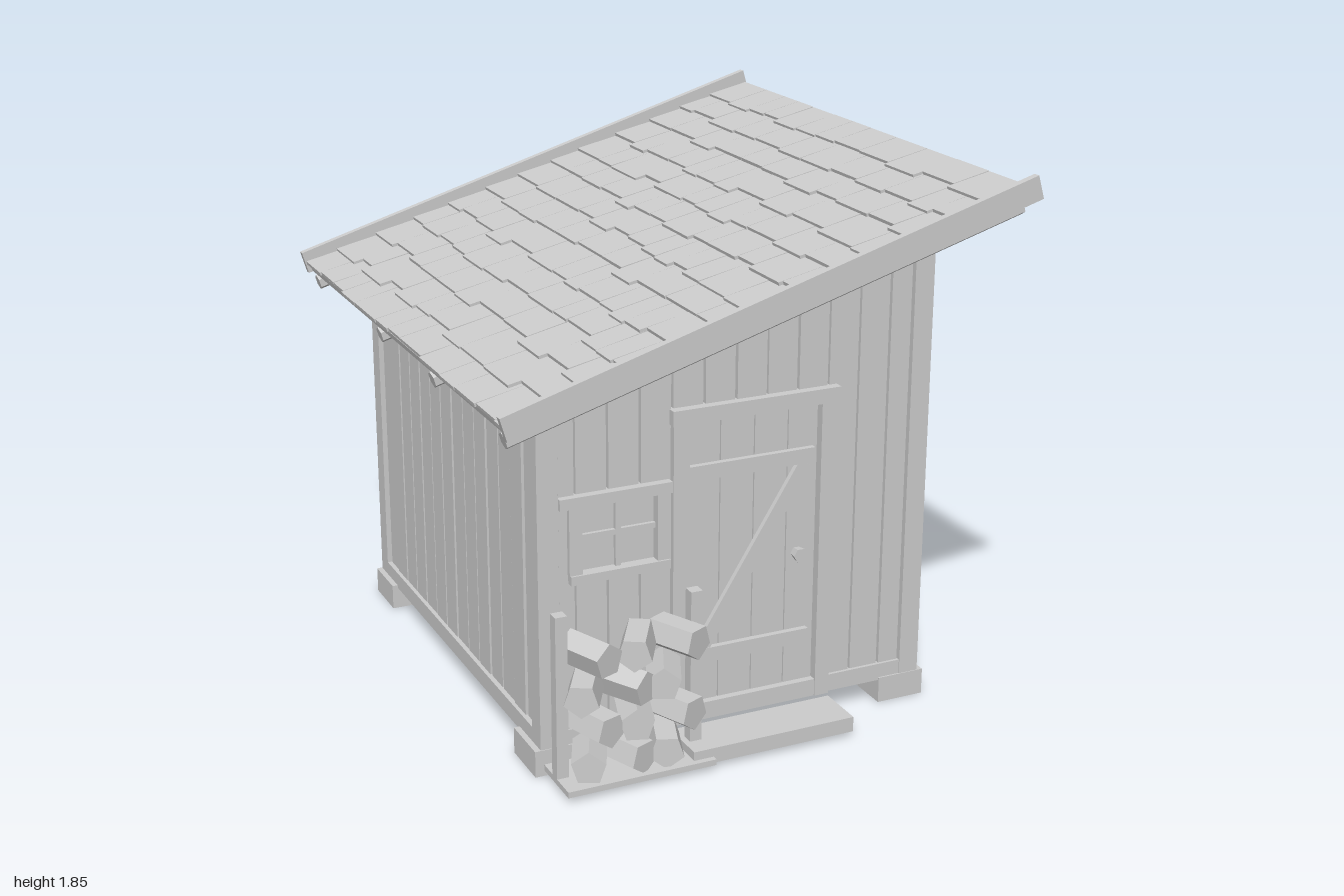
import * as THREE from 'three';

export function createModel() {
  const model = new THREE.Group();
  model.name = 'shed';
  const wood = new THREE.MeshStandardMaterial({ color: 0xcccccc });
  wood.name = 'pale grey';
  wood.flatShading = true;

  let seed = 7;
  const rand = () => (seed = (seed * 16807) % 2147483647) / 2147483647;

  const add = (name, geo, parent = model) => {
    const m = new THREE.Mesh(geo, wood);
    m.name = name;
    parent.add(m);
    return m;
  };
  // Box given by its limits on each axis
  const box = (name, x0, x1, y0, y1, z0, z1, parent = model) => {
    const m = add(name, new THREE.BoxGeometry(x1 - x0, y1 - y0, z1 - z0), parent);
    m.position.set((x0 + x1) / 2, (y0 + y1) / 2, (z0 + z1) / 2);
    return m;
  };
  const group = (name) => {
    const g = new THREE.Group();
    g.name = name;
    model.add(g);
    return g;
  };

  const SLOPE = 0.297, ROOF = 1.51;
  const FRONT = 0.72, BACK = -0.87;
  const wallTop = (x) => ROOF - 0.012 + SLOPE * x;

  // Foundation stones, corner posts and sills
  for (const s of [-1, 1]) {
    for (const [z0, z1] of [[0.54, FRONT + 0.003], [BACK - 0.003, -0.69]]) {
      box('foundationStone', s < 0 ? -0.71 : 0.54, s < 0 ? -0.54 : 0.71, 0, 0.09, z0, z1);
    }
    const top = s > 0 ? 1.63 : 1.24;
    for (const [z0, z1] of [[0.65, FRONT], [BACK, -0.8]]) {
      box('cornerPost', s < 0 ? -0.69 : 0.62, s < 0 ? -0.62 : 0.69, 0.08, top, z0, z1);
    }
    box('sideSill', s < 0 ? -0.69 : 0.62, s < 0 ? -0.62 : 0.69, 0.08, 0.14, -0.8, 0.65);
    box('wallPlate', s < 0 ? -0.69 : 0.62, s < 0 ? -0.62 : 0.69, top, top + 0.068, -0.91, 0.78);

    // Side wall boards
    const wall = group(s > 0 ? 'leftWall' : 'rightWall');
    const edges = [0.65];
    for (let z = 0.57; z > -0.75; z -= 0.1068) edges.push(z);
    edges.push(-0.8);
    for (let i = 0; i + 1 < edges.length; i++) {
      const d = 0.672 + rand() * 0.006;
      box('wallBoard', s > 0 ? d - 0.02 : -d, s > 0 ? d : 0.02 - d, 0.13, top + 0.01,
        edges[i + 1] + 0.005, edges[i] - 0.005, wall);
    }
  }
  box('frontSill', -0.62, 0.62, 0.08, 0.14, 0.65, FRONT - 0.003);
  box('backSill', -0.62, 0.62, 0.08, 0.14, BACK + 0.003, -0.8);

  // Gable boards with tops cut to the roof slope
  const gableBoard = (x0, x1, y0, z, parent) => {
    const shape = new THREE.Shape([
      new THREE.Vector2(x0, y0), new THREE.Vector2(x1, y0),
      new THREE.Vector2(x1, wallTop(x1)), new THREE.Vector2(x0, wallTop(x0)),
    ]);
    const m = add('wallBoard', new THREE.ExtrudeGeometry(shape, { depth: 0.02, bevelEnabled: false }), parent);
    m.position.z = z;
  };
  const frontWall = group('frontWall'), backWall = group('backWall');
  const xs = [-0.62];
  for (let k = 1; k < 12; k++) xs.push(-0.67 + 0.11 * k);
  xs.push(0.62);
  for (let i = 0; i + 1 < xs.length; i++) {
    const a = xs[i] + 0.004, b = xs[i + 1] - 0.004, mid = (a + b) / 2;
    gableBoard(a, b, 0.13, BACK + 0.012 + rand() * 0.006, backWall);
    const z = 0.685 + rand() * 0.006;
    if (mid > -0.23 && mid < 0.33) gableBoard(a, b, 1.1, z, frontWall);
    else if (mid > -0.56 && mid < -0.23) {
      box('wallBoard', a, b, 0.13, 0.67, z, z + 0.02, frontWall);
      gableBoard(a, b, 0.9, z, frontWall);
    } else gableBoard(a, b, 0.13, z, frontWall);
  }

  // Door with frame, Z brace and knob
  const door = group('door');
  const doorX = [-0.18, -0.06, 0.06, 0.18, 0.288];
  for (let i = 0; i < 4; i++) {
    box('doorBoard', doorX[i] + 0.002, doorX[i + 1] - 0.002, 0.14, 1.1, 0.68, 0.702, door);
  }
  box('doorHeader', -0.24, 0.35, 1.11, 1.16, 0.69, 0.738, door);
  box('doorJamb', -0.235, -0.18, 0.08, 1.11, 0.68, 0.73, door);
  box('doorJamb', 0.288, 0.34, 0.08, 1.11, 0.68, 0.73, door);
  box('doorThreshold', -0.18, 0.288, 0.08, 0.14, 0.68, 0.726, door);
  box('doorBrace', -0.18, 0.27, 0.912, 0.962, 0.7, 0.722, door);
  box('doorBrace', -0.175, 0.26, 0.28, 0.33, 0.7, 0.722, door);
  const brace = add('diagonalBrace', new THREE.BoxGeometry(0.05, 0.69, 0.018), door);
  brace.position.set(0.055, 0.62, 0.711);
  brace.rotation.z = -Math.atan2(0.37, 0.59);
  const knob = add('doorKnob', new THREE.CylinderGeometry(0.025, 0.02, 0.035, 6), door);
  knob.rotation.set(Math.PI / 2, Math.PI / 6, 0);
  knob.position.set(0.22, 0.6, 0.718);

  // Window: pane, glazing bars and surround
  const win = group('window');
  box('windowPane', -0.57, -0.27, 0.65, 0.92, 0.685, 0.695, win);
  box('windowHead', -0.62, -0.24, 0.893, 0.93, 0.69, 0.735, win);
  box('windowSill', -0.585, -0.245, 0.64, 0.67, 0.69, 0.735, win);
  for (const x of [-0.565, -0.265]) box('windowJamb', x - 0.022, x + 0.022, 0.67, 0.893, 0.69, 0.728, win);
  box('glazingBar', -0.424, -0.406, 0.67, 0.893, 0.69, 0.71, win);
  box('glazingBar', -0.543, -0.287, 0.775, 0.793, 0.69, 0.708, win);

  // Door step
  box('step', -0.24, 0.34, 0.018, 0.07, 0.73, 0.9);

  // Firewood rack and split logs
  const rack = group('firewoodRack');
  box('rackBase', -0.68, -0.17, 0.02, 0.04, 0.7, 0.92, rack);
  box('rackPost', -0.68, -0.64, 0.04, 0.59, 0.79, 0.83, rack);
  box('rackPost', -0.22, -0.18, 0.04, 0.59, 0.79, 0.83, rack);
  const rows = [
    [0.09, [-0.565, -0.44, -0.305]], [0.205, [-0.55, -0.41, -0.27]],
    [0.325, [-0.58, -0.44, -0.31]], [0.445, [-0.56, -0.4, -0.26]],
  ];
  rows.forEach(([y, centres], r) => centres.forEach((x, i) => {
    const log = add('log', new THREE.CylinderGeometry(0.058, 0.058, 0.17, 5), rack);
    log.rotation.order = 'YXZ';
    log.rotation.set(Math.PI / 2, ((i + r) % 2 ? 1 : -1) * (0.2 + rand() * 0.35), 0);
    log.rotateY(Math.PI * (rand() < 0.5 ? 0 : 1));
    log.position.set(x, y, 0.818);
  }));

  // Sloping roof, built flat and then tilted
  const roof = group('roof');
  roof.position.y = ROOF;
  roof.rotation.z = Math.atan(SLOPE);
  box('roofDeck', -0.91, 0.92, 0, 0.02, -0.975, 0.975, roof);
  for (const s of [-1, 1]) {
    box('bargeBoard', -0.925, 0.93, -0.003, 0.076, s < 0 ? -1 : 0.975, s < 0 ? -0.975 : 1, roof);
  }
  for (const z of [0.92, 0.31, -0.21, -0.92]) {
    const rafter = add('rafter', new THREE.CylinderGeometry(0.028, 0.028, 1.805, 6), roof);
    rafter.rotation.set(0, 0, Math.PI / 2);
    rafter.rotateY(Math.PI / 2);
    rafter.position.set(-0.012, -0.029, z);
  }

  // Staggered shingles, each course lapping the one below
  const courses = 13, pitch = 1.84 / courses;
  for (let c = 0; c < courses; c++) {
    let z = -0.975;
    while (z < 0.974) {
      let w = 0.1 + rand() * 0.12;
      if (z + w > 0.92) w = 0.975 - z;
      const x0 = -0.925 + c * pitch + (c ? (rand() - 0.5) * 0.045 : rand() * 0.012);
      const x1 = Math.min(-0.925 + (c + 1) * pitch + 0.04, 0.925);
      const tile = box('shingle', x0, x1, 0.021, 0.033, z + 0.0015, z + w - 0.0015, roof);
      tile.rotation.z = -0.06 - rand() * 0.02;
      tile.position.y += 0.003;
      z += w;
    }
  }
  return model;
}
